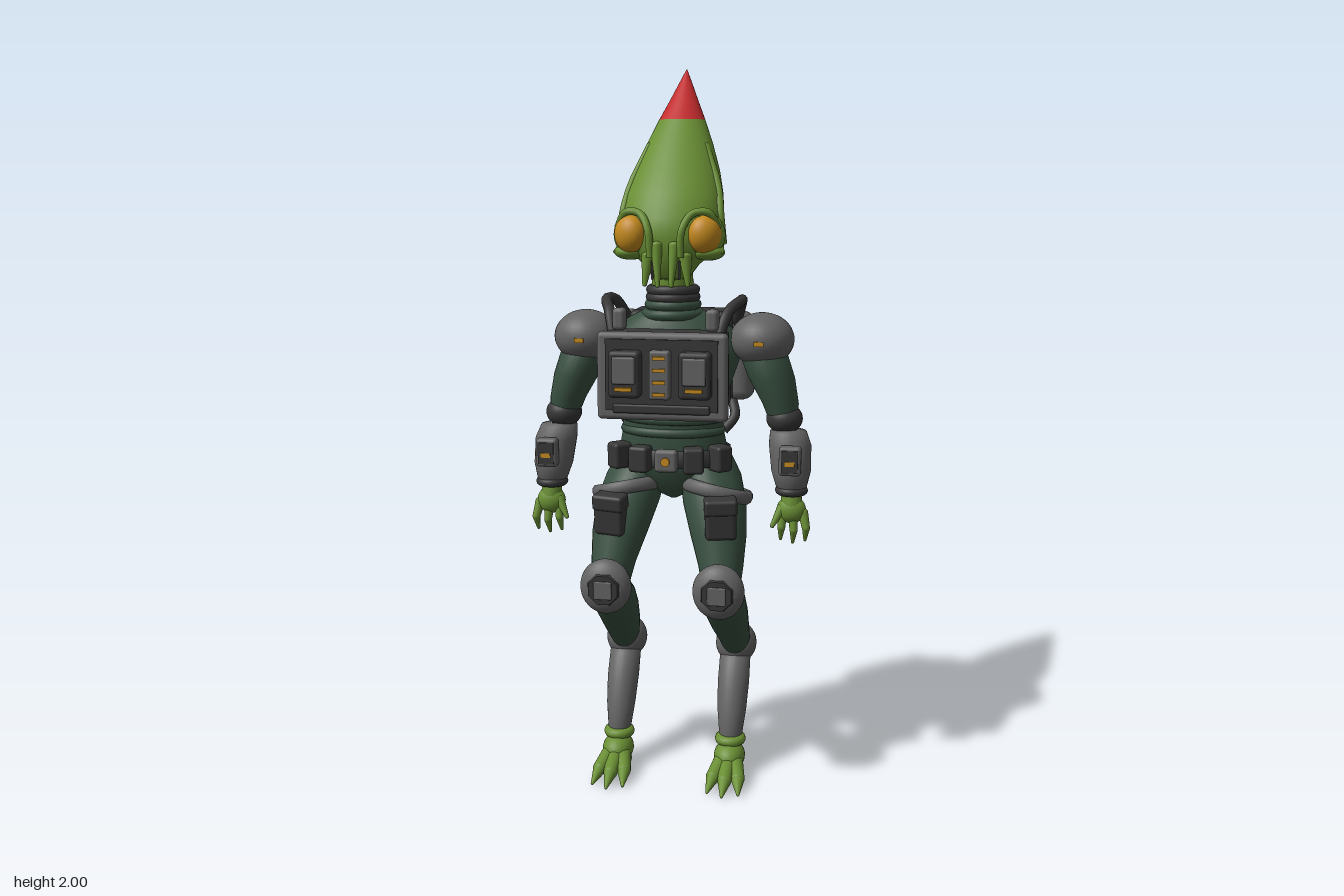
import * as THREE from 'three';
import { RoundedBoxGeometry } from 'three/addons/geometries/RoundedBoxGeometry.js';

const mat = (name, color) => {
  const m = new THREE.MeshStandardMaterial({ color });
  m.name = name;
  return m;
};

export function createModel() {
  const root = new THREE.Group();
  root.name = 'armouredAlien';
  const skin = mat('skinGreen', 0x6a8f34), red = mat('crestRed', 0xc42c2e), amber = mat('amber', 0xc48a1e);
  const suit = mat('suitGreen', 0x384f40), grey = mat('armourGrey', 0x636363), dark = mat('darkGear', 0x373737);

  const V = (p) => new THREE.Vector3(...p);
  const add = (name, geo, m, pos = [0, 0, 0], rot = [0, 0, 0]) => {
    const mesh = new THREE.Mesh(geo, m);
    mesh.name = name;
    mesh.position.set(...pos);
    mesh.rotation.set(...rot);
    root.add(mesh);
    return mesh;
  };
  const box = (name, m, size, pos, r = 0.012, rot) => add(name, new RoundedBoxGeometry(...size, 3, r), m, pos, rot);
  const plate = (name, m, size, pos, rot) => add(name, new THREE.BoxGeometry(...size), m, pos, rot);
  const ball = (name, m, radii, pos, rot) => {
    const mesh = add(name, new THREE.SphereGeometry(1, 28, 20), m, pos, rot);
    mesh.scale.set(...radii);
    return mesh;
  };
  // Tapered rod with rounded ends from a to b
  const rod = (name, m, a, b, ra, rb) => {
    const A = V(a), d = V(b).sub(A), len = d.length(), pts = [];
    for (let i = 0; i <= 5; i++) pts.push(new THREE.Vector2(ra * Math.sin(i * Math.PI / 10), -ra * 0.7 * Math.cos(i * Math.PI / 10)));
    for (let i = 0; i <= 5; i++) pts.push(new THREE.Vector2(rb * Math.cos(i * Math.PI / 10), len + rb * 0.7 * Math.sin(i * Math.PI / 10)));
    const mesh = add(name, new THREE.LatheGeometry(pts, 18), m, a);
    mesh.quaternion.setFromUnitVectors(new THREE.Vector3(0, 1, 0), d.normalize());
    return mesh;
  };
  const tube = (name, m, pts, r) => add(name, new THREE.TubeGeometry(new THREE.CatmullRomCurve3(pts.map(V)), 28, r, 10), m);
  // Skin over elliptical rings, bottom to top: [y, centre z, half width, half depth, centre x]
  const loft = (name, m, rings, n = 32) => {
    const pos = [], idx = [];
    rings.forEach(([y, zc, rx, rz, xc = 0], i) => {
      for (let j = 0; j < n; j++) {
        const a = j / n * Math.PI * 2;
        pos.push(xc + rx * Math.sin(a), y, zc + rz * Math.cos(a));
        if (!i) continue;
        const k = (j + 1) % n, p = (i - 1) * n, q = i * n;
        idx.push(p + j, p + k, q + k, p + j, q + k, q + j);
      }
    });
    const g = new THREE.BufferGeometry();
    g.setAttribute('position', new THREE.Float32BufferAttribute(pos, 3));
    g.setIndex(idx);
    g.computeVertexNormals();
    return add(name, g, m);
  };

  // Head swept up and back, with a red tip and rear fin
  loft('head', skin, [[1.43, 0.06, 0.003, 0.003], [1.44, 0.06, 0.05, 0.06], [1.475, 0.05, 0.075, 0.085], [1.51, 0.05, 0.118, 0.1],
    [1.55, 0.045, 0.136, 0.108], [1.6, 0.032, 0.139, 0.118], [1.66, -0.003, 0.132, 0.115], [1.72, -0.042, 0.117, 0.104],
    [1.79, -0.082, 0.093, 0.085], [1.86, -0.122, 0.064, 0.063]]);
  loft('headTip', red, [[1.86, -0.122, 0.064, 0.063], [1.91, -0.152, 0.041, 0.042], [1.96, -0.18, 0.019, 0.021], [2, -0.2, 0.001, 0.001]]);
  rod('rearFin', red, [0, 1.71, -0.125], [0, 1.84, -0.168], 0.009, 0.024);
  rod('rearFinTop', red, [0, 1.84, -0.168], [0, 1.98, -0.194], 0.024, 0.004);
  for (const s of [1, -1]) {
    tube('headFold', skin, [[s * 0.075, 1.79, -0.05], [s * 0.118, 1.68, 0.015], [s * 0.132, 1.6, 0.06], [s * 0.138, 1.53, 0.05]], 0.012);
    rod('rearHeadFold', skin, [s * 0.085, 1.78, -0.1], [s * 0.12, 1.6, -0.03], 0.005, 0.012);
    ball('eyeSocket', skin, [0.056, 0.06, 0.048], [s * 0.096, 1.555, 0.095], [0, s * 0.45, 0]);
    ball('eye', amber, [0.045, 0.05, 0.036], [s * 0.1, 1.558, 0.122], [0, s * 0.45, 0]);
    tube('brow', skin, [[s * 0.135, 1.575, 0.11], [s * 0.11, 1.615, 0.13], [s * 0.07, 1.612, 0.14], [s * 0.045, 1.57, 0.16], [s * 0.04, 1.5, 0.155]], 0.01);
    ball('cheek', skin, [0.045, 0.022, 0.045], [s * 0.105, 1.51, 0.09]);
    rod('mouthFeeler', skin, [s * 0.024, 1.53, 0.15], [s * 0.018, 1.425, 0.167], 0.016, 0.006);
    rod('cheekFeeler', skin, [s * 0.05, 1.5, 0.13], [s * 0.058, 1.425, 0.14], 0.018, 0.006);
    rod('sideFeeler', skin, [s * 0.13, 1.53, 0.05], [s * 0.145, 1.51, 0.11], 0.012, 0.004);
    plate('mouthSlit', dark, [0.006, 0.05, 0.004], [s * 0.036, 1.465, 0.147]);
  }

  // Ringed neck and collar
  loft('neck', skin, [[1.33, 0.025, 0.06, 0.06], [1.46, 0.04, 0.055, 0.055]]);
  [[1.34, 0.085, suit], [1.365, 0.076, suit], [1.385, 0.073, dark], [1.405, 0.072, dark], [1.425, 0.055, skin], [1.445, 0.05, skin]].forEach(([y, r, m]) =>
    add('neckRing', new THREE.TorusGeometry(r - 0.012, 0.014, 10, 32), m, [0, y, 0.03], [Math.PI / 2, 0, 0]));

  // Suit body
  loft('torso', suit, [[0.82, 0.02, 0.01, 0.01], [0.85, 0.02, 0.07, 0.06], [0.9, 0.015, 0.14, 0.095], [0.95, 0.02, 0.155, 0.1],
    [1.0, 0.025, 0.145, 0.092], [1.06, 0.03, 0.138, 0.088], [1.14, 0.03, 0.158, 0.1], [1.22, 0.025, 0.185, 0.11],
    [1.29, 0.02, 0.18, 0.1], [1.33, 0.02, 0.12, 0.08], [1.36, 0.03, 0.06, 0.06]]);
  for (const y of [1.02, 1.055]) {
    const fold = add('waistFold', new THREE.TorusGeometry(0.135, 0.012, 8, 36), suit, [0, y, 0.03], [Math.PI / 2, 0, 0]);
    fold.scale.y = 0.66;
  }
  ball('tailBase', suit, [0.06, 0.04, 0.03], [0, 1.0, -0.07]);

  // Chest pack
  box('chestPack', dark, [0.33, 0.23, 0.1], [0, 1.19, 0.145]);
  box('chestRim', grey, [0.35, 0.235, 0.035], [0, 1.19, 0.195], 0.014);
  plate('chestPanel', dark, [0.3, 0.19, 0.008], [0, 1.195, 0.214]);
  box('centreModule', grey, [0.055, 0.13, 0.034], [0, 1.2, 0.234], 0.008);
  for (let i = 0; i < 4; i++) plate('centreStripe', amber, [0.034, 0.009, 0.008], [0, 1.15 + i * 0.032, 0.253]);
  box('lowerBar', dark, [0.26, 0.025, 0.015], [0, 1.105, 0.215], 0.006);
  for (const s of [1, -1]) {
    box('sideModule', dark, [0.085, 0.125, 0.045], [s * 0.093, 1.2, 0.232]);
    box('sideModuleFace', grey, [0.062, 0.072, 0.012], [s * 0.093, 1.212, 0.257], 0.005);
    plate('sideModuleLight', amber, [0.045, 0.01, 0.008], [s * 0.093, 1.163, 0.261]);
    box('packClip', grey, [0.035, 0.06, 0.04], [s * 0.125, 1.335, 0.145], 0.012);
    tube('shoulderStrap', dark, [[s * 0.14, 1.28, 0.15], [s * 0.16, 1.35, 0.11], [s * 0.185, 1.375, 0.03], [s * 0.178, 1.365, -0.06], [s * 0.155, 1.3, -0.14]], 0.015);
  }

  // Backpack with tanks
  box('backpack', dark, [0.29, 0.27, 0.14], [0, 1.2, -0.135], 0.02);
  box('backpackShell', grey, [0.25, 0.26, 0.07], [0, 1.2, -0.225], 0.025);
  box('backpackPanel', grey, [0.17, 0.18, 0.02], [0, 1.2, -0.262], 0.008);
  plate('panelSeam', dark, [0.19, 0.2, 0.008], [0, 1.2, -0.258]);
  for (const s of [1, -1]) {
    plate('panelLight', amber, [0.008, 0.05, 0.009], [s * 0.086, 1.255, -0.266]);
    rod('tank', grey, [s * 0.162, 1.1, -0.168], [s * 0.162, 1.3, -0.168], 0.042, 0.042);
    tube('backHose', dark, [[s * 0.15, 1.08, -0.1], [s * 0.16, 1.04, -0.07], [s * 0.13, 1.0, -0.05]], 0.014);
  }

  // Belt
  loft('belt', dark, [[0.925, 0.02, 0.13, 0.09], [0.926, 0.02, 0.163, 0.112], [0.972, 0.02, 0.16, 0.11], [0.973, 0.02, 0.13, 0.09]]);
  box('buckle', grey, [0.062, 0.062, 0.03], [0, 0.95, 0.142], 0.01);
  add('buckleLight', new THREE.CylinderGeometry(0.012, 0.012, 0.008, 16), amber, [0, 0.95, 0.159], [Math.PI / 2, 0, 0]);
  for (const s of [1, -1]) {
    box('frontPouch', dark, [0.056, 0.072, 0.05], [s * 0.073, 0.952, 0.132], 0.01, [0, s * 0.2, 0]);
    box('sidePouch', dark, [0.05, 0.072, 0.055], [s * 0.14, 0.952, 0.09], 0.01, [0, s * 0.8, 0]);
    box('rearPouch', dark, [0.06, 0.06, 0.04], [s * 0.1, 0.95, -0.07], 0.01, [0, -s * 0.5, 0]);
  }

  for (const s of [1, -1]) {
    const X = (x) => s * x;
    // Arms
    ball('shoulderPad', grey, [0.088, 0.073, 0.09], [X(0.245), 1.273, 0.027]);
    plate('shoulderLight', amber, [0.026, 0.012, 0.008], [X(0.245), 1.27, 0.116]);
    loft('upperArm', suit, [[1.03, 0.035, 0.035, 0.036, X(0.312)], [1.1, 0.032, 0.05, 0.052, X(0.298)], [1.17, 0.027, 0.064, 0.07, X(0.272)],
      [1.24, 0.025, 0.066, 0.068, X(0.247)], [1.3, 0.025, 0.03, 0.03, X(0.225)]], 24);
    ball('elbow', dark, [0.05, 0.042, 0.05], [X(0.31), 1.058, 0.035]);
    loft('gauntlet', grey, [[0.872, 0.078, 0.025, 0.025, X(0.335)], [0.878, 0.078, 0.042, 0.042, X(0.335)], [0.92, 0.07, 0.054, 0.055, X(0.333)],
      [0.99, 0.055, 0.058, 0.062, X(0.328)], [1.025, 0.045, 0.05, 0.055, X(0.322)], [1.03, 0.045, 0.025, 0.025, X(0.321)]], 24);
    box('wristDevice', grey, [0.06, 0.08, 0.035], [X(0.335), 0.96, 0.13], 0.01);
    plate('wristScreen', dark, [0.044, 0.06, 0.006], [X(0.335), 0.96, 0.148]);
    plate('wristLight', amber, [0.026, 0.012, 0.007], [X(0.335), 0.955, 0.151]);
    add('cuff', new THREE.TorusGeometry(0.033, 0.012, 10, 24), dark, [X(0.336), 0.868, 0.08], [Math.PI / 2, 0, 0]);
    // Hand
    rod('wrist', skin, [X(0.335), 0.88, 0.08], [X(0.337), 0.83, 0.085], 0.026, 0.03);
    ball('palm', skin, [0.04, 0.038, 0.03], [X(0.337), 0.815, 0.087]);
    [-0.022, 0.006, 0.034].forEach((d, i) => {
      const l = 0.04 - Math.abs(i - 1) * 0.008;
      rod('finger', skin, [X(0.335 + d), 0.81, 0.09], [X(0.338 + d * 1.2), 0.8 - l, 0.1], 0.014, 0.011);
      rod('fingerTip', skin, [X(0.338 + d * 1.2), 0.8 - l, 0.1], [X(0.335 + d * 1.2), 0.762 - l, 0.088], 0.011, 0.004);
    });
    rod('thumb', skin, [X(0.312), 0.82, 0.095], [X(0.287), 0.772, 0.112], 0.014, 0.006);

    // Thigh, strap and pouch
    loft('thigh', suit, [[0.56, 0.16, 0.02, 0.03, X(0.155)], [0.59, 0.155, 0.05, 0.06, X(0.155)], [0.66, 0.13, 0.062, 0.068, X(0.15)],
      [0.74, 0.095, 0.078, 0.08, X(0.138)], [0.82, 0.058, 0.088, 0.095, X(0.122)], [0.89, 0.015, 0.084, 0.1, X(0.105)],
      [0.95, -0.01, 0.068, 0.085, X(0.085)], [0.99, -0.01, 0.02, 0.03, X(0.075)]], 28);
    ball('buttock', suit, [0.075, 0.075, 0.065], [X(0.075), 0.92, -0.04]);
    const strap = add('thighStrap', new THREE.TorusGeometry(0.088, 0.014, 10, 40), grey, [X(0.126), 0.85, 0.042], [Math.PI / 2 - 0.2, -s * 0.2, 0]);
    strap.scale.set(1, 1.1, 1.4);
    box('thighPouch', dark, [0.085, 0.115, 0.05], [X(0.152), 0.8, 0.158], 0.012, [0.1, s * 0.2, 0]);
    box('thighPouchFlap', dark, [0.09, 0.045, 0.056], [X(0.152), 0.835, 0.162], 0.01, [0.1, s * 0.2, 0]);

    // Knee guard
    ball('kneeGuard', grey, [0.071, 0.077, 0.042], [X(0.155), 0.61, 0.213]);
    add('kneeDisc', new THREE.CylinderGeometry(0.043, 0.05, 0.018, 8), dark, [X(0.155), 0.61, 0.246], [Math.PI / 2, Math.PI / 8, 0]);
    box('kneePlate', grey, [0.05, 0.05, 0.008], [X(0.155), 0.61, 0.256], 0.003);

    // Lower leg, hock and metatarsal guard
    loft('shin', suit, [[0.33, -0.1, 0.03, 0.04, X(0.165)], [0.38, -0.07, 0.045, 0.062, X(0.165)], [0.44, -0.01, 0.053, 0.085, X(0.16)],
      [0.51, 0.065, 0.06, 0.095, X(0.157)], [0.57, 0.12, 0.06, 0.078, X(0.155)], [0.62, 0.155, 0.045, 0.045, X(0.155)]], 28);
    ball('hock', grey, [0.06, 0.063, 0.064], [X(0.165), 0.35, -0.115]);
    loft('metatarsalGuard', grey, [[0.1, 0.005, 0.02, 0.02, X(0.165)], [0.108, 0.003, 0.033, 0.034, X(0.165)], [0.18, -0.022, 0.042, 0.045, X(0.165)],
      [0.25, -0.055, 0.046, 0.053, X(0.165)], [0.32, -0.095, 0.045, 0.055, X(0.165)], [0.35, -0.11, 0.02, 0.02, X(0.165)]], 24);

    // Clawed foot
    add('ankleRing', new THREE.TorusGeometry(0.03, 0.015, 10, 24), skin, [X(0.165), 0.1, 0.008], [Math.PI / 2, 0, 0]);
    ball('foot', skin, [0.045, 0.042, 0.06], [X(0.165), 0.055, 0.025]);
    for (const d of [-1, 0, 1]) {
      const x = 0.165 + d * 0.036, z = d ? 0.12 : 0.14;
      rod('toe', skin, [X(0.165 + d * 0.015), 0.05, 0.04], [X(x), 0.027, z], 0.026, 0.02);
      rod('toeClaw', skin, [X(x), 0.026, z], [X(x + d * 0.008), 0.008, z + 0.06], 0.019, 0.004);
    }
    rod('heelToe', skin, [X(0.165), 0.045, 0.01], [X(0.165), 0.015, -0.068], 0.025, 0.005);
    ball('footPad', skin, [0.04, 0.02, 0.055], [X(0.165), 0.02, 0.03]);
  }
  return root;
}
